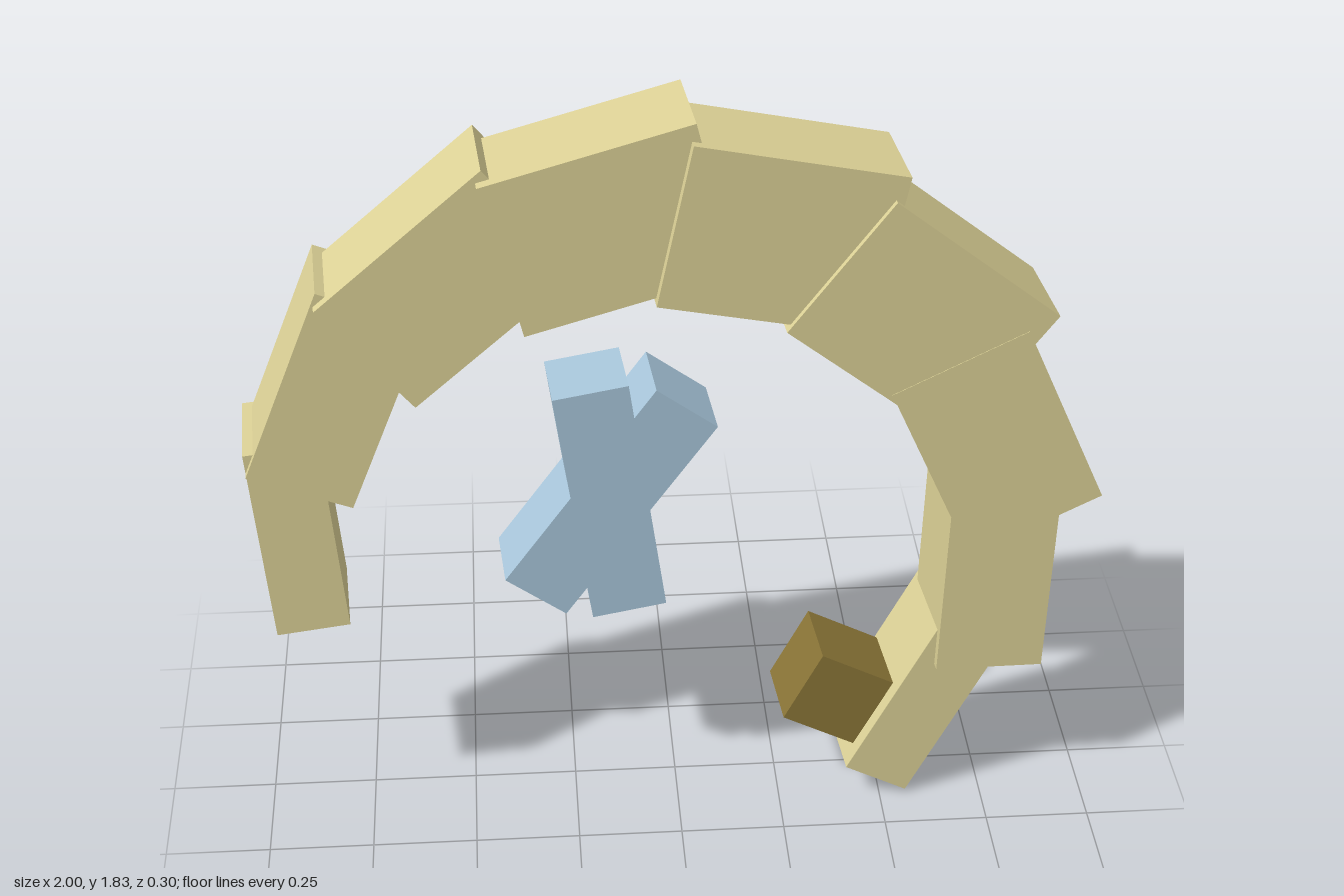
import * as THREE from 'three';

const paint = (name, color) => {
  const m = new THREE.MeshStandardMaterial({ color });
  m.name = name;
  return m;
};

export function createModel() {
  const model = new THREE.Group();
  model.name = 'segmentedArch';
  const khaki = paint('khaki', 0xdcd196);
  const blue = paint('paleBlue', 0xa8c6da);
  const brown = paint('darkBrown', 0x8a7537);

  // A block turned by an angle in the arch plane, then leaned slightly back and to its left
  function block(name, material, [x, y, degrees, length, width, depth]) {
    const lean = new THREE.Group();
    lean.name = name;
    lean.position.set(x, y, 0);
    lean.rotation.set(-0.035, 0.068, 0);
    const mesh = new THREE.Mesh(new THREE.BoxGeometry(length, width, depth), material);
    mesh.name = name + 'Block';
    mesh.rotation.z = THREE.MathUtils.degToRad(degrees);
    lean.add(mesh);
    model.add(lean);
  }

  // Arch segments from the right foot over the top to the curled left end:
  // x, y, angle, width
  const segments = [
    [-0.89, 0.803, 95, 0.172],
    [-0.781, 1.172, 67.7, 0.256],
    [-0.517, 1.446, 39.7, 0.33],
    [-0.161, 1.58, 14.3, 0.375],
    [0.221, 1.54, -12.2, 0.388],
    [0.542, 1.323, -38.4, 0.384],
    [0.731, 0.994, -65.7, 0.34],
    [0.753, 0.615, -92.1, 0.26],
    [0.598, 0.26, -118.7, 0.172],
  ];
  segments.forEach(([x, y, angle, width], i) =>
    block(`archSegment${i + 1}`, khaki, [x, y, angle, 0.491, width, 0.25]));

  // Stub at the curled end
  block('endStub', brown, [0.404, 0.253, -28.5, 0.24, 0.196, 0.2]);

  // Two crossed bars inside the arch
  block('crossBarSteep', blue, [-0.163, 0.856, -82, 0.6, 0.177, 0.19]);
  block('crossBarSlanted', blue, [-0.163, 0.856, 53.1, 0.6, 0.177, 0.19]);

  return model;
}
